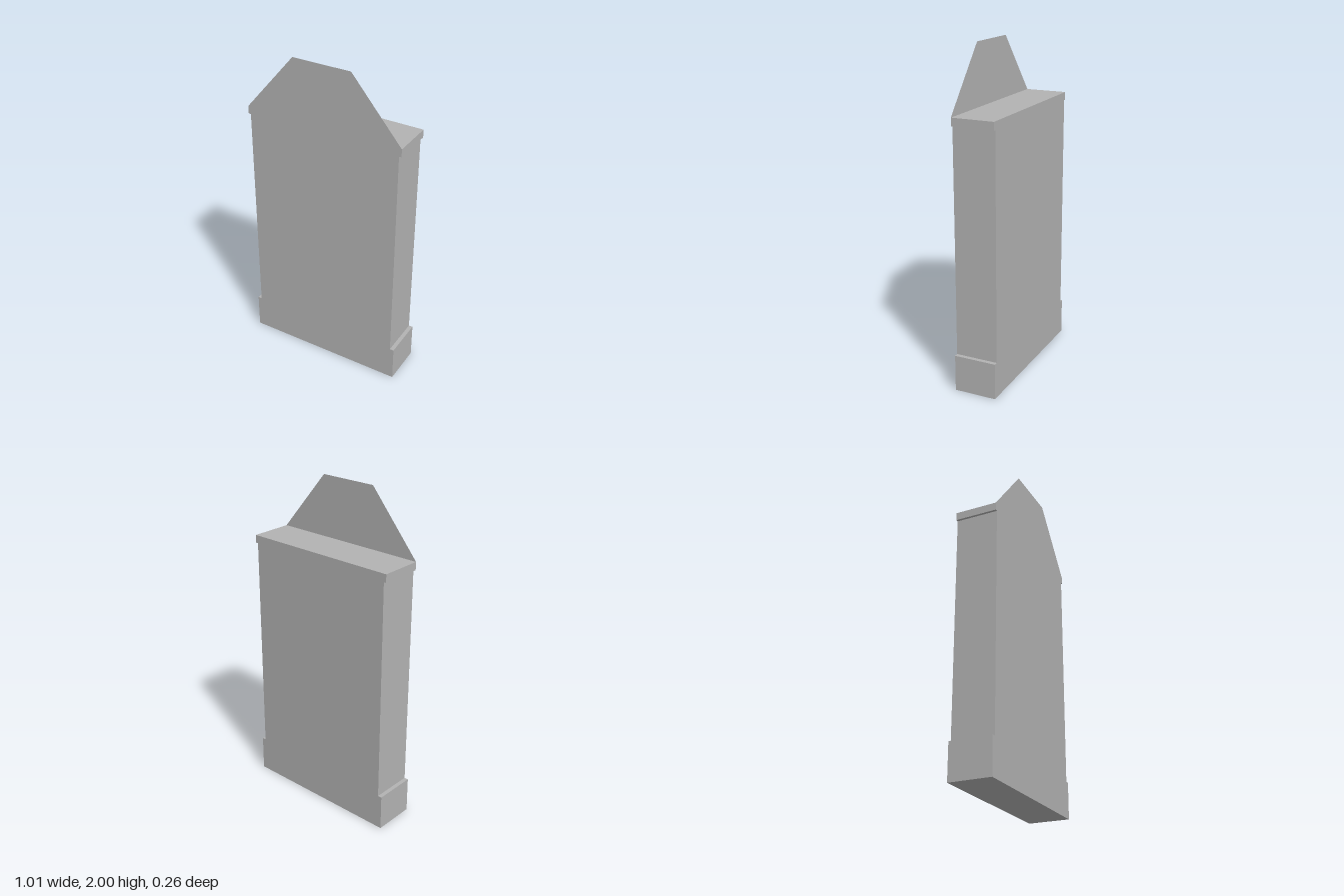
import * as THREE from 'three';

const DEPTH = 0.258;

// Shape symmetric about x = 0, from [half width, height] points going up the right side
function mirroredShape(points) {
  const left = points.map(([x, y]) => [-x, y]).reverse();
  return new THREE.Shape([...points, ...left].map(([x, y]) => new THREE.Vector2(x, y)));
}

export function createModel() {
  const model = new THREE.Group();
  model.name = 'gabledSlab';

  const stone = new THREE.MeshStandardMaterial({ color: 0xb2b2b2, side: THREE.DoubleSide });
  stone.name = 'stone grey';

  // Slab with a wider plinth below and a narrow cap ledge above
  const slabShape = mirroredShape([
    [0.505, 0], [0.505, 0.222],
    [0.48, 0.222], [0.48, 1.582],
    [0.495, 1.582], [0.495, 1.63],
  ]);
  const slabGeometry = new THREE.ExtrudeGeometry(slabShape, { depth: DEPTH, bevelEnabled: false });
  slabGeometry.translate(0, 0, -DEPTH / 2);
  const slab = new THREE.Mesh(slabGeometry, stone);
  slab.name = 'slab';
  model.add(slab);

  // Paper-thin gable standing flush with the front face
  const gableGeometry = new THREE.ShapeGeometry(mirroredShape([[0.495, 1.63], [0.182, 2]]));
  const gable = new THREE.Mesh(gableGeometry, stone);
  gable.name = 'frontGable';
  gable.position.z = DEPTH / 2;
  model.add(gable);

  return model;
}
